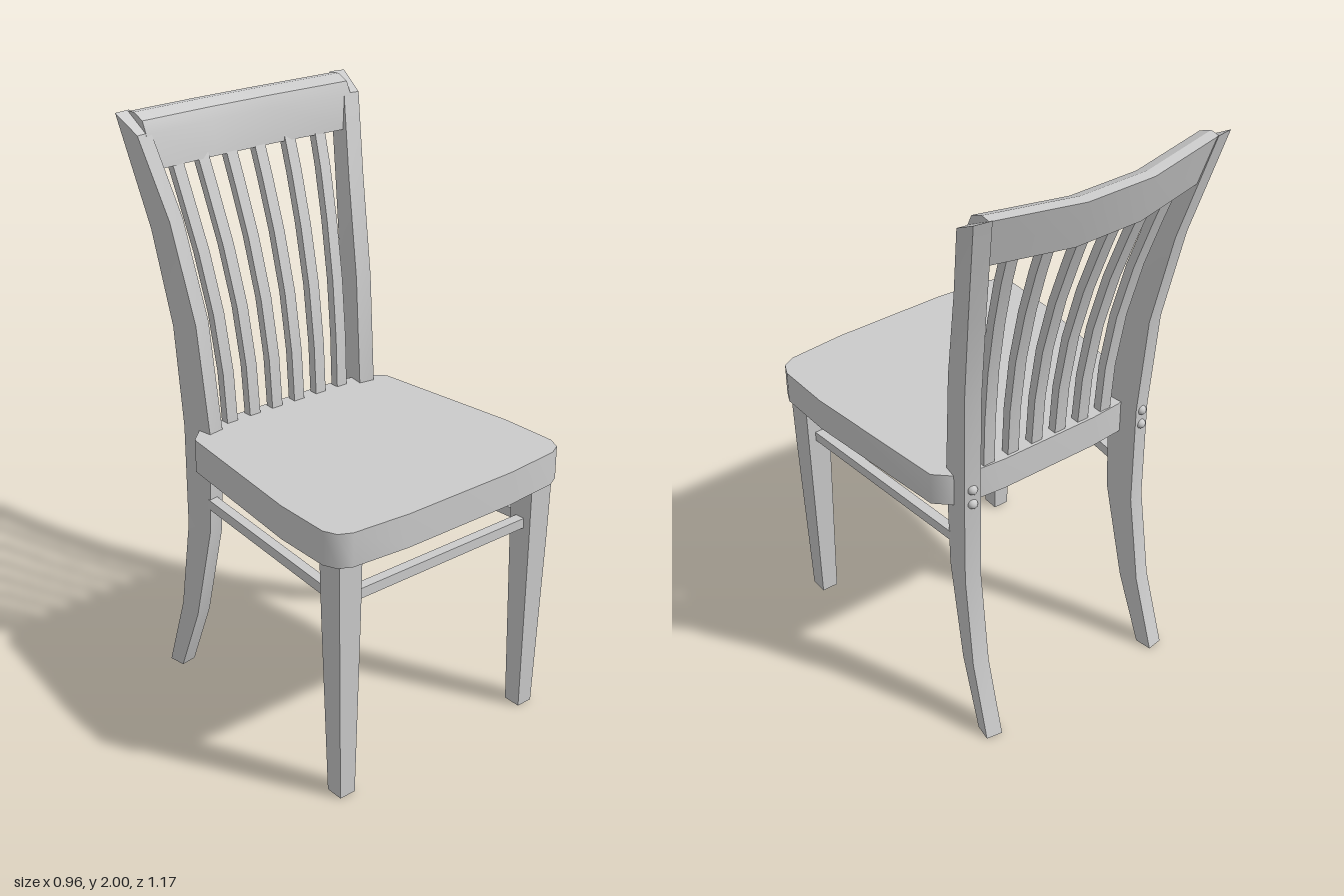
import * as THREE from 'three';
import { toCreasedNormals } from 'three/addons/utils/BufferGeometryUtils.js';

const material = new THREE.MeshStandardMaterial({ color: 0xcccccc });

// Skin a list of rings (each counter-clockwise about the travel direction), with end caps
function loft(rings) {
  const n = rings[0].length, pos = [], idx = [];
  rings.forEach(r => r.forEach(p => pos.push(...p)));
  for (let i = 0; i < rings.length - 1; i++) {
    for (let j = 0; j < n; j++) {
      const a = i * n + j, b = i * n + (j + 1) % n;
      idx.push(a, b, b + n, a, b + n, a + n);
    }
  }
  const e = (rings.length - 1) * n;
  for (let j = 1; j < n - 1; j++) idx.push(0, j + 1, j, e, e + j, e + j + 1);
  const g = new THREE.BufferGeometry();
  g.setAttribute('position', new THREE.Float32BufferAttribute(pos, 3));
  g.setIndex(idx);
  return toCreasedNormals(g, 0.5);
}

// Level rectangle, ordered for lofting upward
const rect = (x0, x1, y, zFront, zBack) =>
  [[x0, y, zFront], [x1, y, zFront], [x1, y, zBack], [x0, y, zBack]];

export function createModel() {
  const chair = new THREE.Group();
  const add = (name, geometry) => {
    const mesh = new THREE.Mesh(geometry, material);
    mesh.name = name;
    chair.add(mesh);
    return mesh;
  };

  // Seat: half outline mirrored, extruded upward
  const half = [[0.21, 0.584], [0.415, 0.567], [0.458, 0.545], [0.478, 0.5], [0.475, 0.3],
    [0.413, -0.235], [0.36, -0.285], [0.293, -0.303], [0.18, -0.312]];
  const outline = [...half, ...half.map(([x, z]) => [-x, z]).reverse()];
  const seat = new THREE.ExtrudeGeometry(
    new THREE.Shape(outline.map(([x, z]) => new THREE.Vector2(x, -z))),
    { depth: 0.115, bevelEnabled: false });
  seat.rotateX(-Math.PI / 2).translate(0, 0.86, 0);
  add('seat', toCreasedNormals(seat, 0.8));

  // Back posts: front y, front z, back y, back z, outer x of the front edge
  const post = [
    [0, -0.425, 0, -0.485, 0.375],
    [0.25, -0.33, 0.27, -0.402, 0.366],
    [0.6, -0.252, 0.6, -0.355, 0.355],
    [0.97, -0.235, 0.97, -0.355, 0.352],
    [1.35, -0.273, 1.32, -0.377, 0.366],
    [1.68, -0.35, 1.64, -0.436, 0.396],
    [1.945, -0.434, 2.0, -0.53, 0.444],
  ];
  for (const s of [1, -1]) {
    const side = s > 0 ? 'left' : 'right';

    // Each section is turned slightly so its rear swings outward
    add(side + 'BackPost', loft(post.map(([yf, zf, yb, zb, x]) => {
      const xb = x + 0.16 * (zf - zb);
      const ring = [[s * (x - 0.056), yf, zf - 0.009], [s * x, yf, zf],
        [s * xb, yb, zb], [s * (xb - 0.056), yb, zb - 0.009]];
      return s > 0 ? ring : ring.reverse();
    })));

    // Tapered front leg
    add(side + 'FrontLeg', loft([[0, 0.368, 0.427, 0.522, 0.459], [0.65, 0.36, 0.443, 0.537, 0.449],
      [0.855, 0.358, 0.447, 0.54, 0.447]].map(([y, a, b, zf, zb]) =>
      rect(Math.min(s * a, s * b), Math.max(s * a, s * b), y, zf, zb))));

    // Side stretcher
    const dx = -0.065, dz = -0.77;
    const bar = add(side + 'Stretcher', new THREE.BoxGeometry(0.035, 0.035, Math.hypot(dx, dz)));
    bar.position.set(s * 0.368, 0.713, 0.09);
    bar.rotation.y = s * Math.atan2(dx, dz) * -1;
    bar.rotation.y = s * Math.atan(dx / dz);

    // Bolt heads on the back of the post
    for (const y of [0.96, 0.905]) {
      add(side + 'Bolt', new THREE.SphereGeometry(0.017, 12, 8)).position.set(s * 0.343, y, -0.358);
    }
  }

  // Front stretcher
  add('frontStretcher', new THREE.BoxGeometry(0.74, 0.035, 0.035)).position.set(0, 0.713, 0.492);

  // Top rail: one section swept along a bowed line, (z, y) from front bottom round to front top
  const section = [[-0.477, 1.815], [-0.54, 1.82], [-0.589, 1.983], [-0.555, 1.987],
    [-0.51, 1.968], [-0.492, 1.93]];
  add('topRail', loft([[-0.41, 0.055, 0.014], [-0.12, 0, 0], [0.12, 0, 0], [0.41, 0.055, 0.014]]
    .map(([x, dz, dy]) => section.map(([z, y]) => [x, y + dy, z + dz]))));

  // Six curved slats fanning out toward the rail: y, front z, share of the fan and bow
  const slat = [[0.95, -0.268, 0], [1.15, -0.283, 0.08], [1.35, -0.318, 0.26],
    [1.55, -0.375, 0.53], [1.72, -0.438, 0.82], [1.85, -0.49, 1]];
  for (const s of [1, -1]) {
    for (const [x0, x1, bow] of [[0.047, 0.058, 0], [0.141, 0.177, 0.012], [0.235, 0.29, 0.033]]) {
      add('backSlat', loft(slat.map(([y, z, t]) => {
        const x = s * (x0 + (x1 - x0) * t), zf = z + bow * t;
        return rect(x - 0.021, x + 0.021, y, zf, zf - 0.032);
      })));
    }
  }
  return chair;
}
